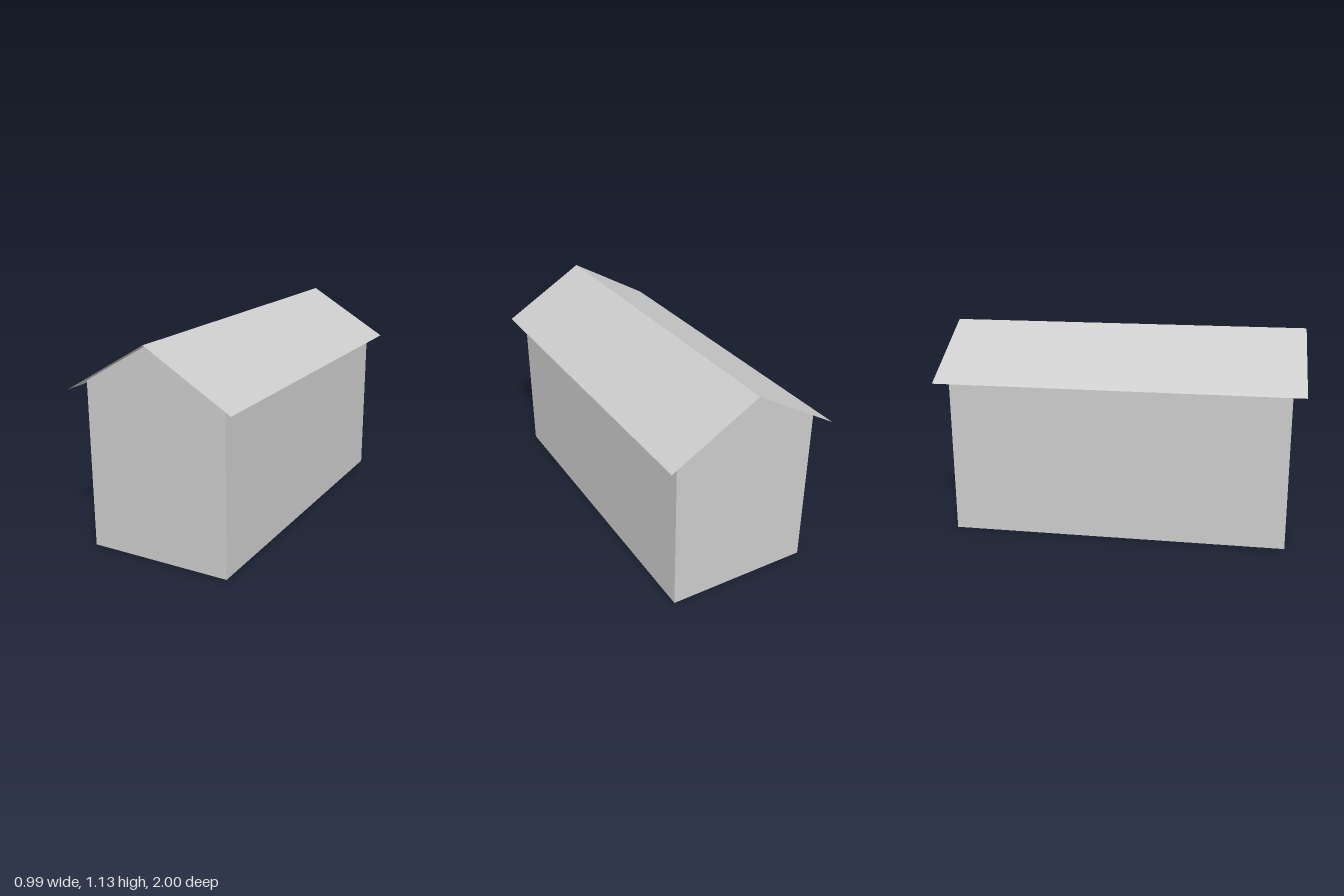
import * as THREE from 'three';

const HALF_W = 0.395, HALF_L = 0.917;            // walls
const ROOF_W = 0.463, ROOF_L = 0.985;            // roof with overhang
const RIDGE = 1.13, EAVE = 0.857;
const WALL_TOP = RIDGE - (RIDGE - EAVE) * HALF_W / ROOF_W;

// Flat four-cornered panel, corners counter-clockwise seen from outside
function panel(a, b, c, d) {
  const g = new THREE.BufferGeometry();
  g.setAttribute('position', new THREE.Float32BufferAttribute([...a, ...b, ...c, ...d], 3));
  g.setIndex([0, 1, 2, 0, 2, 3]);
  g.computeVertexNormals();
  return g;
}

export function createModel() {
  const model = new THREE.Group();
  model.name = 'house';
  const grey = new THREE.MeshStandardMaterial({ color: 0xcccccc, side: THREE.DoubleSide });
  grey.name = 'light grey';

  // Gable wall outline, open underneath the building
  const gable = new THREE.Shape([
    new THREE.Vector2(-HALF_W, 0), new THREE.Vector2(HALF_W, 0),
    new THREE.Vector2(HALF_W, WALL_TOP), new THREE.Vector2(0, RIDGE),
    new THREE.Vector2(-HALF_W, WALL_TOP),
  ]);

  // Each pass makes one end wall, one side wall and one roof slope
  [['front', 'left'], ['back', 'right']].forEach(([end, side], i) => {
    const half = new THREE.Group();
    half.name = `${end}AndSideHalf`;
    half.rotation.y = i * Math.PI;
    const add = (name, geometry) => {
      const mesh = new THREE.Mesh(geometry, grey);
      mesh.name = name;
      half.add(mesh);
    };
    add(`${end}GableWall`, new THREE.ShapeGeometry(gable).translate(0, 0, HALF_L));
    add(`${side}Wall`, panel(
      [HALF_W, 0, HALF_L], [HALF_W, 0, -HALF_L],
      [HALF_W, WALL_TOP, -HALF_L], [HALF_W, WALL_TOP, HALF_L]));
    add(`${side}RoofSlope`, panel(
      [ROOF_W, EAVE, ROOF_L], [ROOF_W, EAVE, -ROOF_L],
      [0, RIDGE, -ROOF_L], [0, RIDGE, ROOF_L]));
    model.add(half);
  });

  // The building stands slightly turned
  model.rotation.y = -0.0305;
  return model;
}
